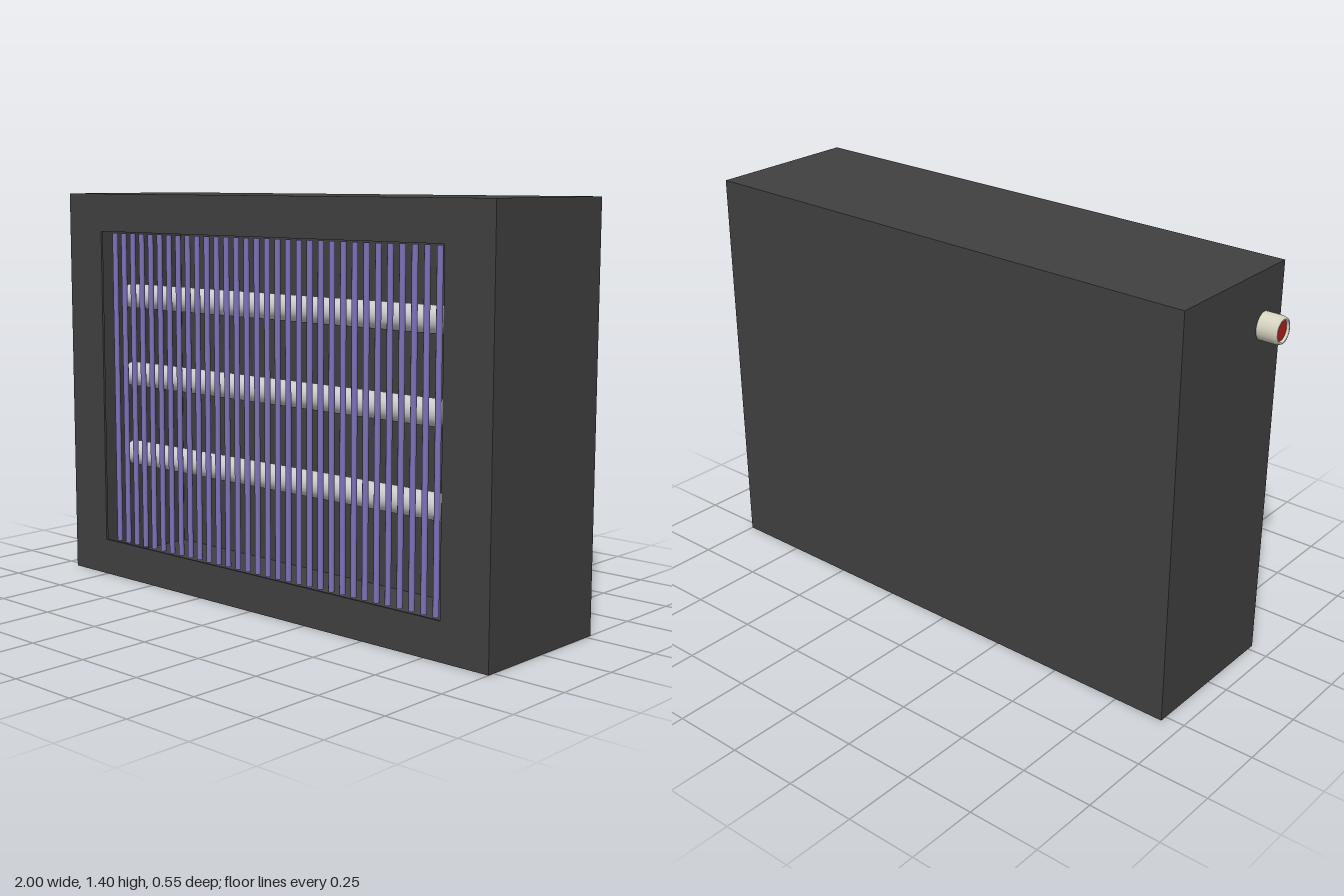
import * as THREE from 'three';

const mat = (color, side = THREE.FrontSide) => new THREE.MeshStandardMaterial({ color, side });

export function createModel() {
  const model = new THREE.Group();
  const dark = mat(0x404040), purple = mat(0x7c72b8), grey = mat(0xcccccc);
  const cream = mat(0xd6d4c0, THREE.DoubleSide), red = mat(0xb02020);

  const add = (name, geometry, material, x, y, z, parent = model) => {
    const mesh = new THREE.Mesh(geometry, material);
    mesh.name = name;
    mesh.position.set(x, y, z);
    parent.add(mesh);
    return mesh;
  };

  // Hollow housing: four sides and a back made of thin sheet
  const L = -0.93, R = 1, H = 1.405, D = 0.55, t = 0.008;
  const W = R - L, cx = (L + R) / 2;
  const housing = new THREE.Group();
  housing.name = 'housing';
  model.add(housing);
  const wall = (name, w, h, d, x, y, z) =>
    add(name, new THREE.BoxGeometry(w, h, d), dark, x, y, z, housing);
  wall('bottomWall', W, t, D, cx, t / 2, 0);
  wall('topWall', W, t, D, cx, H - t / 2, 0);
  wall('rightWall', t, H - 2 * t, D, L + t / 2, H / 2, 0);
  wall('leftWall', t, H - 2 * t, D, R - t / 2, H / 2, 0);
  wall('backWall', W - 2 * t, H - 2 * t, t, cx, H / 2, -D / 2 + t / 2);

  // Front panel with a rectangular window
  const rect = (Type, x0, y0, x1, y1) => {
    const path = new Type();
    path.moveTo(x0, y0);
    path.lineTo(x1, y0);
    path.lineTo(x1, y1);
    path.lineTo(x0, y1);
    path.closePath();
    return path;
  };
  const panel = rect(THREE.Shape, L + t, t, R - t, H - t);
  panel.holes.push(rect(THREE.Path, -0.755, 0.13, 0.815, 1.27));
  add('frontPanel', new THREE.ExtrudeGeometry(panel, { depth: t, bevelEnabled: false }),
    dark, 0, 0, D / 2 - t, housing);

  // Heating tubes running across the inside
  const tubeGeo = new THREE.CylinderGeometry(0.046, 0.046, 1.82, 32).rotateZ(Math.PI / 2);
  for (const y of [0.415, 0.72, 1.018]) add('heatingTube', tubeGeo, grey, cx, y, 0.03);

  // Guard of upright bars just behind the window
  const bars = 32;
  const barGeo = new THREE.CylinderGeometry(0.01, 0.01, 1.135, 12);
  for (let i = 0; i < bars; i++) {
    add('guardBar', barGeo, purple, -0.706 + (1.486 * i) / (bars - 1), 0.6975, 0.25);
  }

  // Push button on the side: stepped sleeve around a recessed red cap
  const button = new THREE.Group();
  button.name = 'button';
  button.position.set(L, 1.22, 0.174);
  button.rotation.z = Math.PI / 2;
  button.scale.z = 0.92;
  model.add(button);
  const profile = [[0.047, 0], [0.047, 0.056], [0.043, 0.07], [0.035, 0.07], [0.035, 0.05]]
    .map(([r, y]) => new THREE.Vector2(r, y));
  add('buttonSleeve', new THREE.LatheGeometry(profile, 32), cream, 0, 0, 0, button);
  add('buttonCap', new THREE.CylinderGeometry(0.035, 0.035, 0.062, 32), red, 0, 0.031, 0, button);

  return model;
}
